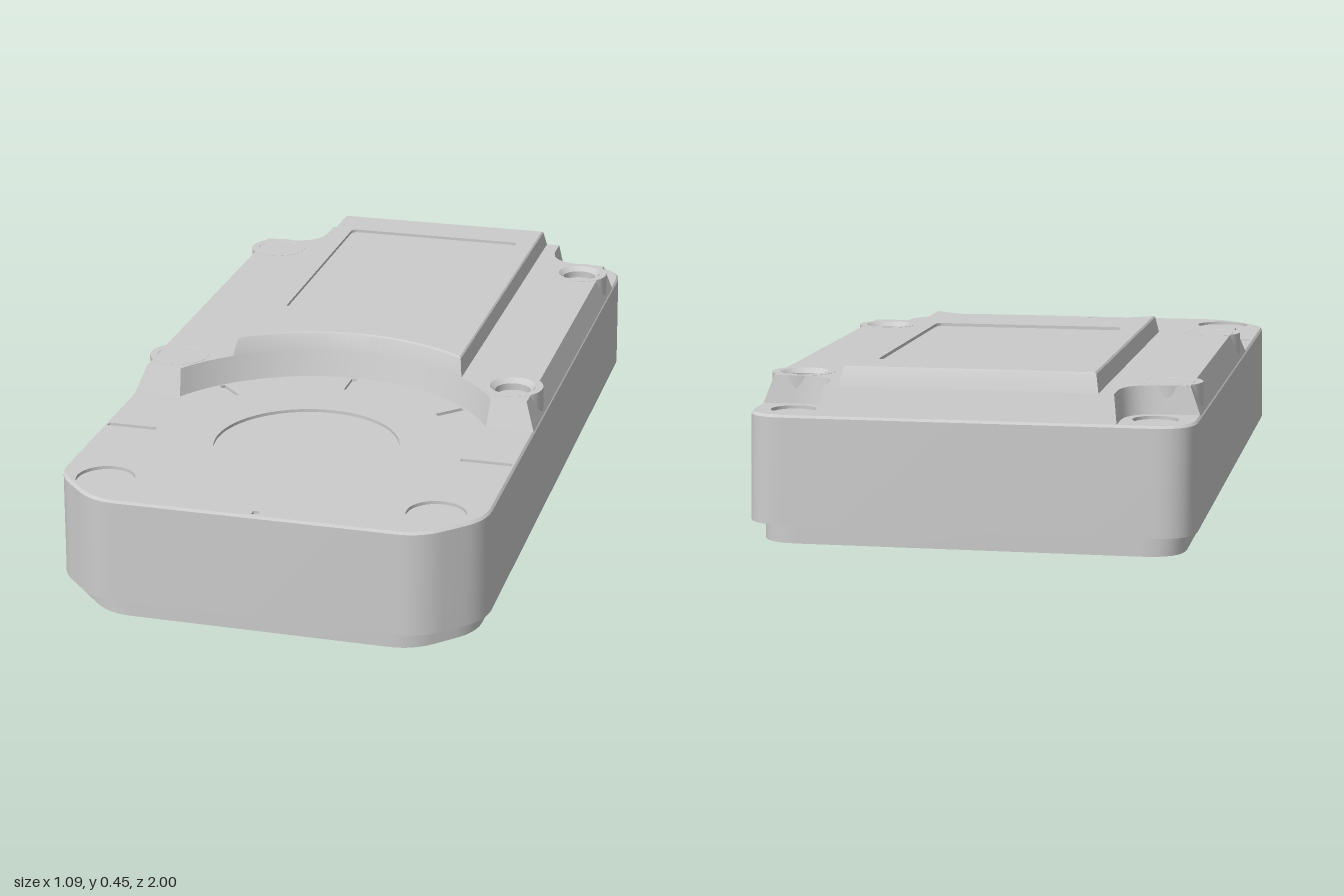
import * as THREE from 'three';
import { mergeGeometries, toCreasedNormals } from 'three/addons/utils/BufferGeometryUtils.js';

// Plan outlines are counter-clockwise Vector2 lists of (x, -z).
const P = (x, v) => new THREE.Vector2(x, v);

// Polygon whose corners [x, v, cut] are rounded when a cut length is given
function rounded(corners) {
  const out = [];
  corners.forEach(([x, v, cut], i) => {
    const c = P(x, v);
    if (!cut) return out.push(c);
    const n = corners.length;
    const toward = ([px, pv]) => P(px, pv).sub(c).setLength(cut).add(c);
    const from = toward(corners[(i + n - 1) % n]), to = toward(corners[(i + 1) % n]);
    out.push(...new THREE.QuadraticBezierCurve(from, c, to).getPoints(8));
  });
  return out;
}

const circle = (x, z, r, n = 40) => Array.from({ length: n }, (_, i) => {
  const a = (i / n) * Math.PI * 2;
  return P(x + r * Math.cos(a), -z + r * Math.sin(a));
});

// Arc bulging to the back, centred on the dial, from left to right
const DIAL_Z = 0.54;
const arc = (r, t, n = 40) => Array.from({ length: n + 1 }, (_, i) => {
  const a = t * (2 * i / n - 1);
  return P(r * Math.sin(a), -DIAL_Z + r * Math.cos(a));
});

// Flat face closing an outline, facing up or down
function cap(pts, y, holes = [], down = false) {
  const shape = new THREE.Shape(pts);
  shape.holes = holes.map(h => new THREE.Path(h));
  const g = new THREE.ShapeGeometry(shape).toNonIndexed();
  g.deleteAttribute('uv');
  g.deleteAttribute('normal');
  if (down) g.scale(1, 1, -1).rotateX(Math.PI / 2);
  else g.rotateX(-Math.PI / 2);
  return g.translate(0, y, 0);
}

// Walls through rings [outline, y]; descending rings make a pocket
function walls(rings) {
  const pos = [];
  for (let k = 0; k + 1 < rings.length; k++) {
    const [lo, y0] = rings[k], [hi, y1] = rings[k + 1];
    lo.forEach((a, i) => {
      const j = (i + 1) % lo.length, b = lo[j], c = hi[j], d = hi[i];
      pos.push(a.x, y0, -a.y, b.x, y0, -b.y, c.x, y1, -c.y);
      pos.push(a.x, y0, -a.y, c.x, y1, -c.y, d.x, y1, -d.y);
    });
  }
  return new THREE.BufferGeometry().setAttribute('position', new THREE.Float32BufferAttribute(pos, 3));
}

// Lofted solid with pockets (ring lists) and plain holes in its top
function solid(name, rings, { pockets = [], holes = [], bottom = false } = {}) {
  const [top, y] = rings.at(-1);
  const parts = [walls(rings), cap(top, y, [...pockets.map(p => p[0][0]), ...holes])];
  for (const p of pockets) parts.push(walls(p), cap(...p.at(-1)));
  if (bottom) parts.push(cap(...rings[0], [], true));
  const mesh = new THREE.Mesh(
    toCreasedNormals(mergeGeometries(parts), 0.5),
    new THREE.MeshStandardMaterial({ color: 0xcccccc }));
  mesh.name = name;
  return mesh;
}

const engrave = (pts, y, depth = 0.008) => [[pts, y], [pts, y - depth]];

// Case outline: chamfered front corners, round back corners
function caseOutline(inset) {
  const w = 0.543 - inset, l = 1 - inset;
  return rounded([
    [w - 0.13, -l, 0.06], [w, -l + 0.13, 0.06], [w, l, 0.1],
    [-w, l, 0.1], [-w, -l + 0.13, 0.06], [-w + 0.13, -l, 0.06],
  ]);
}

// Deck outline: notched back corners and an arc cut into the front
function deckOutline(r, w, front, back, notch) {
  const t = Math.acos((DIAL_Z - front) / r);
  const nv = 0.82 - (0.36 - notch);
  return [
    ...rounded([
      [w, -front], [w, nv], [notch, nv, 0.1], [notch, back],
      [-notch, back], [-notch, nv, 0.1], [-w, nv], [-w, -front],
    ]),
    ...arc(r, t),
  ];
}

const panelOutline = (r, w, back) => [P(w, back), P(-w, back), ...arc(r, Math.asin(w / r))];

// Thin radial mark around the dial; angle 0 points left (+x), 90 to the back
function tick(degrees, r0, r1) {
  const centre = P(0, -DIAL_Z), a = THREE.MathUtils.degToRad(degrees), h = 0.008;
  return [[r0, -h], [r1, -h], [r1, h], [r0, h]]
    .map(([x, v]) => P(x, v).rotateAround(P(0, 0), a).add(centre));
}

export function createModel() {
  const root = new THREE.Group();
  root.name = 'device';
  const tilted = new THREE.Group();
  tilted.name = 'housing';
  tilted.rotation.x = 0.01;
  tilted.position.y = 0.01;
  root.add(tilted);

  const BODY = 0.316, DECK = 0.384, PANEL = 0.431;

  // Inset foot
  tilted.add(solid('base', [[caseOutline(0.028), 0], [caseOutline(0.028), 0.05]], { bottom: true }));

  // Main body with dial, corner discs and tick marks sunk into its top
  const marks = [circle(0, DIAL_Z, 0.235, 64), tick(270, 0.425, 0.445)];
  for (const a of [0, 180]) marks.push(tick(a, 0.4, 0.53));
  for (const a of [45, 90, 135]) marks.push(tick(a, 0.385, 0.465));
  for (const s of [-1, 1]) marks.push(circle(s * 0.417, 0.87, 0.073), circle(s * 0.44, -0.9, 0.055));
  tilted.add(solid('body', [
    [caseOutline(0), 0.05], [caseOutline(0.003), BODY - 0.006], [caseOutline(0.008), BODY],
  ], { pockets: marks.map(m => engrave(m, BODY)), bottom: true }));

  // Sloped deck behind the dial
  const screws = [];
  for (const x of [-0.455, 0.455]) for (const z of [-0.735, 0.185]) screws.push([x, z]);
  tilted.add(solid('deck', [
    [deckOutline(0.47, 0.538, 0.315, 0.99, 0.36), BODY - 0.002],
    [deckOutline(0.49, 0.512, 0.285, 0.965, 0.35), DECK],
  ], { holes: screws.map(([x, z]) => circle(x, z, 0.06)) }));

  // Screw bosses with stepped sockets
  for (const [x, z] of screws) {
    const top = DECK + 0.0006, ring = r => circle(x, z, r);
    tilted.add(solid('screwBoss', [[ring(0.08), BODY - 0.002], [ring(0.079), top]], {
      pockets: [[[ring(0.06), top], [ring(0.046), top - 0.012], [ring(0.046), top - 0.03]]],
    }));
  }

  // Raised panel with a shallow window
  const windowOutline = rounded([
    [0.25, 0.12, 0.02], [0.25, 0.82, 0.02], [-0.25, 0.82, 0.02], [-0.25, 0.12, 0.02],
  ]);
  tilted.add(solid('raisedPanel', [
    [panelOutline(0.49, 0.313, 0.965), DECK - 0.001],
    [panelOutline(0.503, 0.305, 0.945), PANEL - 0.004],
    [panelOutline(0.507, 0.301, 0.941), PANEL],
  ], { pockets: [engrave(windowOutline, PANEL)] }));

  return root;
}
